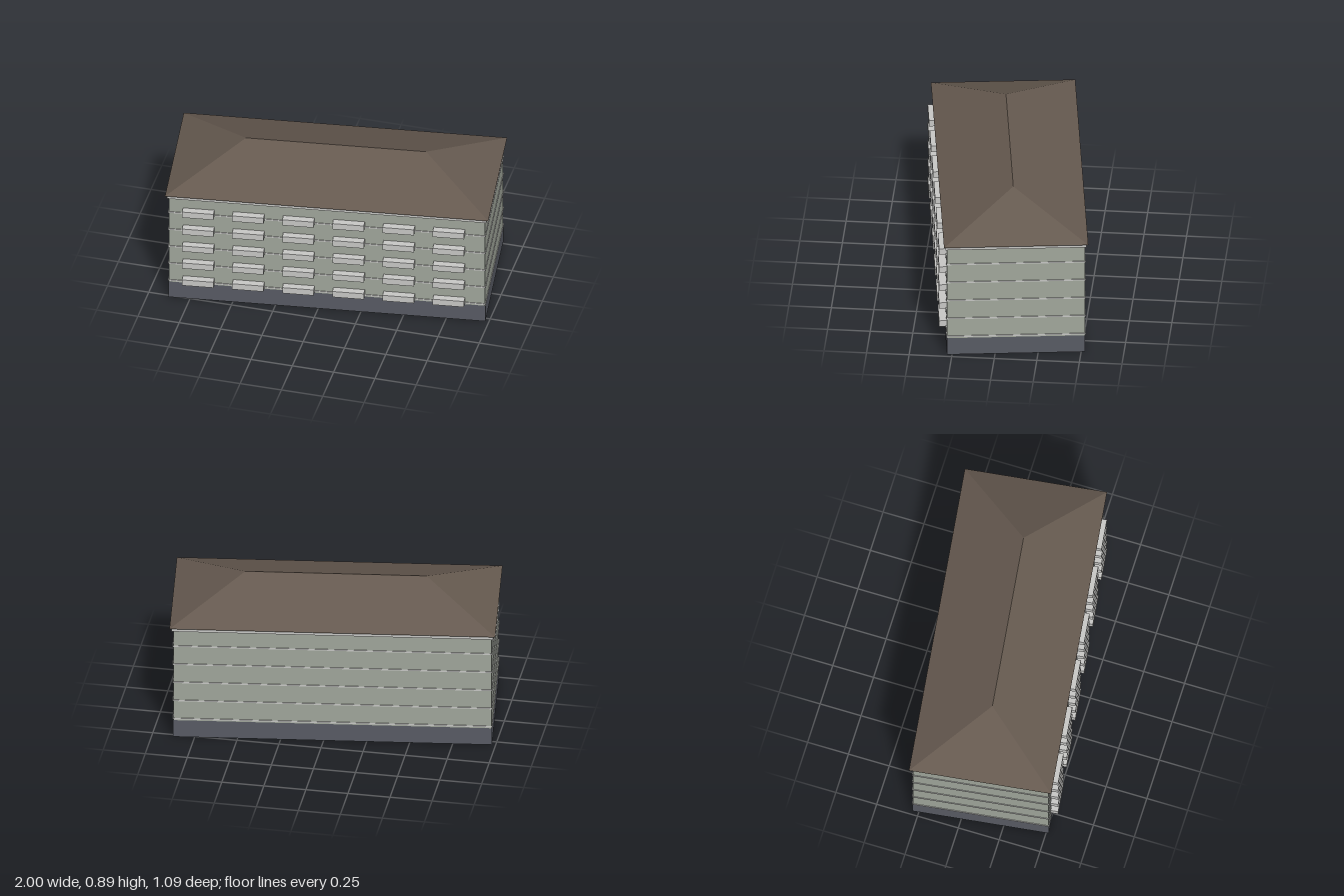
import * as THREE from 'three';

const L = 1.865, W = 0.806;            // wall footprint
const ROOF_L = 1.908, ROOF_W = 0.845;  // eaves footprint
const EAVE = 0.735, RIDGE = 0.895;
const FLOORS = 5, FLOOR_H = 0.1222, BAYS = 6;

const flat = (name, color, side = THREE.FrontSide) => {
  const m = new THREE.MeshStandardMaterial({ color, side });
  m.name = name;
  return m;
};

// Four walls without floor or ceiling
function openShell(length, width, height) {
  const g = new THREE.CylinderGeometry(Math.SQRT1_2, Math.SQRT1_2, height, 4, 1, true)
    .rotateY(Math.PI / 4).scale(length, 1, width).translate(0, height / 2, 0).toNonIndexed();
  g.computeVertexNormals();
  return g;
}

// Rectangular frame running around the walls
function ring(outset, bottom, height) {
  const rect = (path, l, w) => path.moveTo(-l, -w).lineTo(l, -w).lineTo(l, w).lineTo(-l, w).closePath();
  const shape = rect(new THREE.Shape(), L / 2 + outset, W / 2 + outset);
  shape.holes.push(rect(new THREE.Path(), L / 2 + 0.001, W / 2 + 0.001));
  return new THREE.ExtrudeGeometry(shape, { depth: height, bevelEnabled: false })
    .rotateX(-Math.PI / 2).translate(0, bottom, 0);
}

// Hipped roof with a closed underside
function hipRoof() {
  const x = ROOF_L / 2, z = ROOF_W / 2, r = (ROOF_L - ROOF_W) / 2;
  const p = [
    [-x, EAVE, z], [x, EAVE, z], [x, EAVE, -z], [-x, EAVE, -z],
    [-r, RIDGE, 0], [r, RIDGE, 0],
  ];
  const faces = [0, 1, 5, 0, 5, 4, 1, 2, 5, 2, 3, 4, 2, 4, 5, 3, 0, 4, 0, 3, 2, 0, 2, 1];
  const g = new THREE.BufferGeometry();
  g.setAttribute('position', new THREE.Float32BufferAttribute(faces.flatMap(i => p[i]), 3));
  g.computeVertexNormals();
  return g;
}

export function createModel() {
  const wallMat = flat('wall grey green', 0xa2a89d, THREE.DoubleSide);
  const baseMat = flat('base slate', 0x595c65);
  const roofMat = flat('roof brown', 0x665a50);
  const trimMat = flat('trim light grey', 0xcacac8);

  const building = new THREE.Group();
  building.name = 'building';
  const add = (name, geometry, material, parent = building) => {
    const mesh = new THREE.Mesh(geometry, material);
    mesh.name = name;
    parent.add(mesh);
    return mesh;
  };

  add('walls', openShell(L, W, EAVE), wallMat);
  add('base', openShell(L + 0.004, W + 0.004, 0.111), baseMat);
  add('cornice', ring(0.01, 0.713, EAVE - 0.001 - 0.713), trimMat);
  add('roof', hipRoof(), roofMat);

  // Floor bands and rows of front balconies
  const balconies = new THREE.Group();
  balconies.name = 'balconies';
  building.add(balconies);
  const balcony = new THREE.BoxGeometry(0.185, 0.04, 0.044);
  for (let f = 0; f < FLOORS; f++) {
    const y = 0.1228 + f * FLOOR_H;
    add('floorBand', ring(0.005, y - 0.004, 0.008), trimMat);
    for (let b = 0; b < BAYS; b++) {
      add('balcony', balcony, trimMat, balconies)
        .position.set(-0.757 + b * 0.2958, y + 0.0165, W / 2 + 0.021);
    }
  }

  // The building stands slightly turned on its plot
  building.rotation.y = 0.1264;
  building.position.z = -0.004;
  const model = new THREE.Group();
  model.name = 'apartmentBlock';
  model.add(building);
  return model;
}
